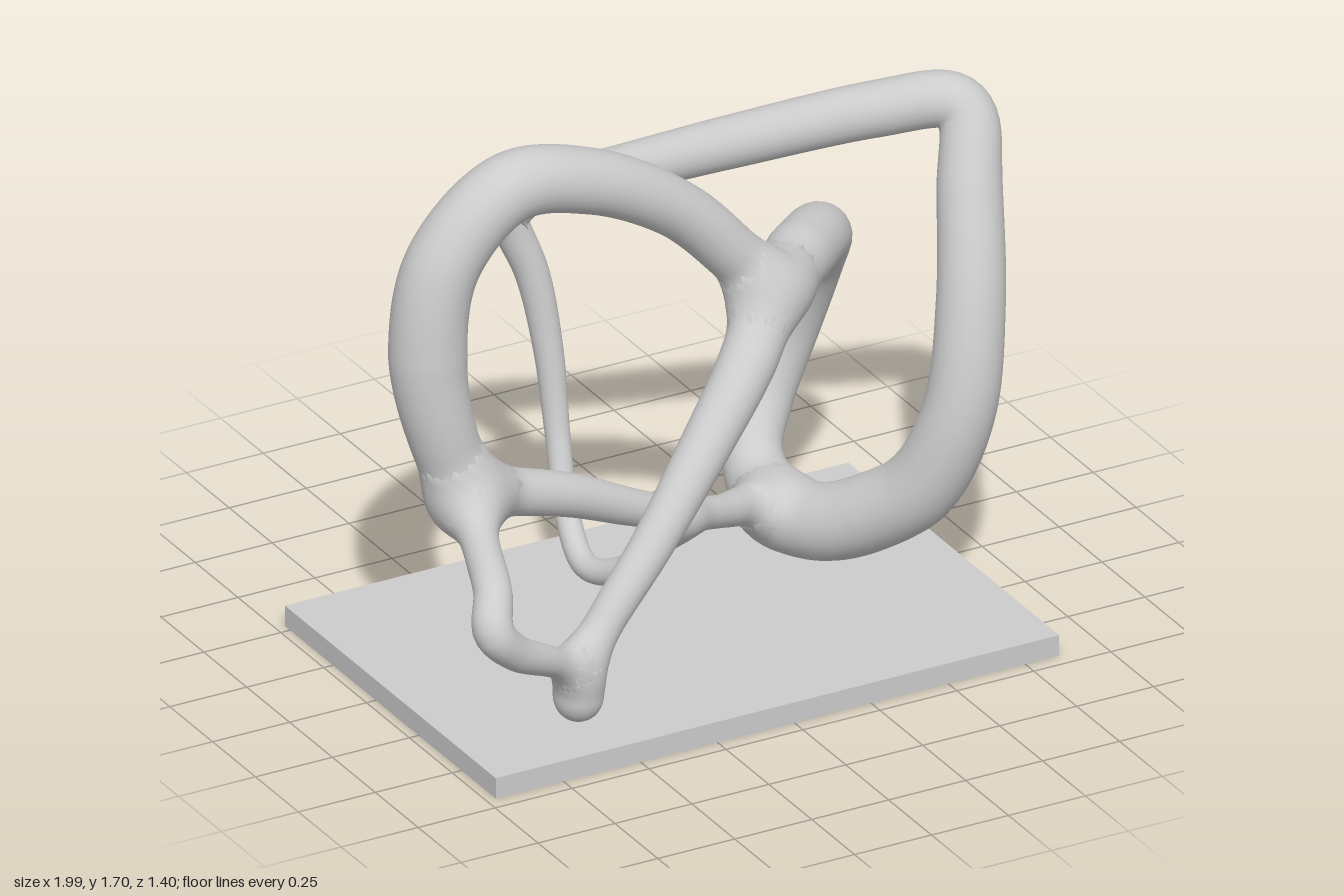
import * as THREE from 'three';

// Centre lines as [x, y, z, radius]; they meet at shared junctions.
const SHOULDER = [-0.76, 0.68, 0.15, 0.09];
const HUB = [0.24, 1.07, 0.13, 0.088];
const FOOT_END = [-0.59, 0.14, 0.5, 0.071];
const PATHS = {
  // left arch, right ring, tall leg, top bar and thin rear leg in one run
  mainLoop: [
    SHOULDER, [-0.83, 0.87, 0.14, 0.1], [-0.865, 1.12, 0.115, 0.113], [-0.81, 1.4, 0.105, 0.11],
    [-0.6, 1.59, 0.11, 0.103], [-0.33, 1.545, 0.11, 0.095], [-0.05, 1.385, 0.11, 0.085],
    [0.13, 1.2, 0.12, 0.082], HUB, [0.42, 1.06, -0.03, 0.1], [0.58, 1.01, -0.2, 0.095],
    [0.655, 0.85, -0.36, 0.088], [0.635, 0.62, -0.445, 0.083], [0.55, 0.41, -0.445, 0.08],
    [0.465, 0.275, -0.38, 0.086], [0.44, 0.2, -0.27, 0.1], [0.45, 0.18, -0.14, 0.11],
    [0.5, 0.2, -0.01, 0.113], [0.575, 0.265, 0.11, 0.114], [0.67, 0.39, 0.24, 0.112],
    [0.75, 0.64, 0.315, 0.105], [0.81, 0.95, 0.275, 0.1], [0.87, 1.25, 0.16, 0.095],
    [0.912, 1.43, 0.07, 0.085], [0.88, 1.467, 0.03, 0.083], [0.7, 1.435, -0.08, 0.082],
    [0.35, 1.33, -0.28, 0.077], [0.05, 1.22, -0.47, 0.07], [-0.16, 1.14, -0.615, 0.07],
    [-0.208, 1.1, -0.64, 0.064], [-0.175, 1.02, -0.63, 0.055], [-0.125, 0.88, -0.605, 0.05],
    [-0.095, 0.65, -0.565, 0.043], [-0.095, 0.4, -0.51, 0.036], [-0.12, 0.2, -0.41, 0.036],
    [-0.145, 0.11, -0.25, 0.038], [-0.1, 0.16, -0.1, 0.04], [-0.04, 0.28, 0, 0.038],
    [-0.01, 0.35, 0.04, 0.03]],
  lowerBar: [
    SHOULDER, [-0.6, 0.63, 0.125, 0.07], [-0.4, 0.56, 0.105, 0.064], [-0.18, 0.455, 0.08, 0.054],
    [0, 0.37, 0.04, 0.046], [0.18, 0.295, -0.05, 0.048], [0.33, 0.24, -0.14, 0.06],
    [0.45, 0.19, -0.18, 0.06]],
  // diagonal bar running down into the foot
  frontBar: [
    HUB, [0.1, 0.93, 0.25, 0.084], [-0.1, 0.74, 0.35, 0.074], [-0.32, 0.52, 0.435, 0.062],
    [-0.49, 0.35, 0.48, 0.056], [-0.575, 0.24, 0.5, 0.062], FOOT_END],
  sideLoop: [
    [-0.6, 0.235, 0.51, 0.035], [-0.72, 0.315, 0.565, 0.045], [-0.86, 0.4, 0.61, 0.053],
    [-0.93, 0.485, 0.615, 0.06], [-0.89, 0.56, 0.54, 0.056], [-0.835, 0.61, 0.38, 0.054],
    [-0.77, 0.66, 0.19, 0.06]],
};

// Evenly spaced rings along one path, each with a centre, radius and frame
function samplePath(points) {
  const curve = new THREE.CatmullRomCurve3(points.map(p => new THREE.Vector3(p[0], p[1], p[2])));
  curve.arcLengthDivisions = 600;
  const n = Math.max(8, Math.ceil(curve.getLength() / 0.018));
  const frames = curve.computeFrenetFrames(n, false);
  const rings = [];
  for (let i = 0; i <= n; i++) {
    const f = curve.getUtoTmapping(i / n) * (points.length - 1);
    const k = Math.min(Math.floor(f), points.length - 2);
    const r = THREE.MathUtils.lerp(points[k][3], points[k + 1][3], THREE.MathUtils.clamp(f - k, 0, 1));
    rings.push({ c: curve.getPointAt(i / n), r, n: frames.normals[i], b: frames.binormals[i] });
  }
  return rings;
}

// Distance to all limbs, softly blended so joints get fillets
function blendedDistance(p, limbs, k = 0.11) {
  let d = 10;
  for (const rings of limbs) {
    let e = 10;
    for (const s of rings) e = Math.min(e, p.distanceTo(s.c) - s.r);
    const h = Math.max(k - Math.abs(d - e), 0) / k;
    d = Math.min(d, e) - h * h * k / 4;
  }
  return d;
}

// Push a point out from a centre until it reaches the blended skin
function toSkin(c, dir, r, limbs) {
  let d = r;
  const p = new THREE.Vector3();
  for (let i = 0; i < 9; i++) {
    p.copy(c).addScaledVector(dir, d);
    d = THREE.MathUtils.clamp(d - blendedDistance(p, limbs), r * 0.9, r * 2);
  }
  return p.copy(c).addScaledVector(dir, d);
}

// Closed-section tube with shared vertices for smooth shading
function limbGeometry(rings, limbs, sides = 24) {
  const pos = [], index = [];
  const dir = new THREE.Vector3();
  rings.forEach((s, i) => {
    for (let j = 0; j < sides; j++) {
      const a = j / sides * Math.PI * 2;
      dir.copy(s.n).multiplyScalar(Math.cos(a)).addScaledVector(s.b, Math.sin(a));
      pos.push(...toSkin(s.c, dir, s.r, limbs).toArray());
      if (i === rings.length - 1) continue;
      const j2 = (j + 1) % sides;
      const p = i * sides + j, q = i * sides + j2;
      index.push(p, q, p + sides, q, q + sides, p + sides);
    }
  });
  const g = new THREE.BufferGeometry();
  g.setAttribute('position', new THREE.Float32BufferAttribute(pos, 3));
  g.setIndex(index);
  g.computeVertexNormals();
  return g;
}

// Rounded knuckle that fills a joint or closes an end
function knuckleGeometry([x, y, z, r], limbs) {
  const g = new THREE.SphereGeometry(1, 32, 20);
  const pos = g.attributes.position;
  const c = new THREE.Vector3(x, y, z), dir = new THREE.Vector3();
  for (let i = 0; i < pos.count; i++) {
    dir.fromBufferAttribute(pos, i).normalize();
    const p = toSkin(c, dir, r, limbs);
    pos.setXYZ(i, p.x, p.y, p.z);
  }
  g.computeVertexNormals();
  return g;
}

export function createModel() {
  const group = new THREE.Group();
  const material = new THREE.MeshStandardMaterial({ color: 0xcccccc, side: THREE.DoubleSide });
  const add = (name, geometry) => {
    const mesh = new THREE.Mesh(geometry, material);
    mesh.name = name;
    group.add(mesh);
    return mesh;
  };

  // flat rectangular base
  add('basePlate', new THREE.BoxGeometry(1.83, 0.065, 1.23)).position.set(-0.055, 0.0325, 0.085);

  // flowing limbs
  const names = Object.keys(PATHS);
  const limbs = names.map(n => samplePath(PATHS[n]));
  names.forEach((n, i) => add(n, limbGeometry(limbs[i], limbs)));

  // joints and the foot's rounded end
  const joints = { shoulderJoint: SHOULDER, hubJoint: HUB, footEnd: FOOT_END };
  for (const [n, p] of Object.entries(joints)) add(n, knuckleGeometry(p, limbs));
  return group;
}
